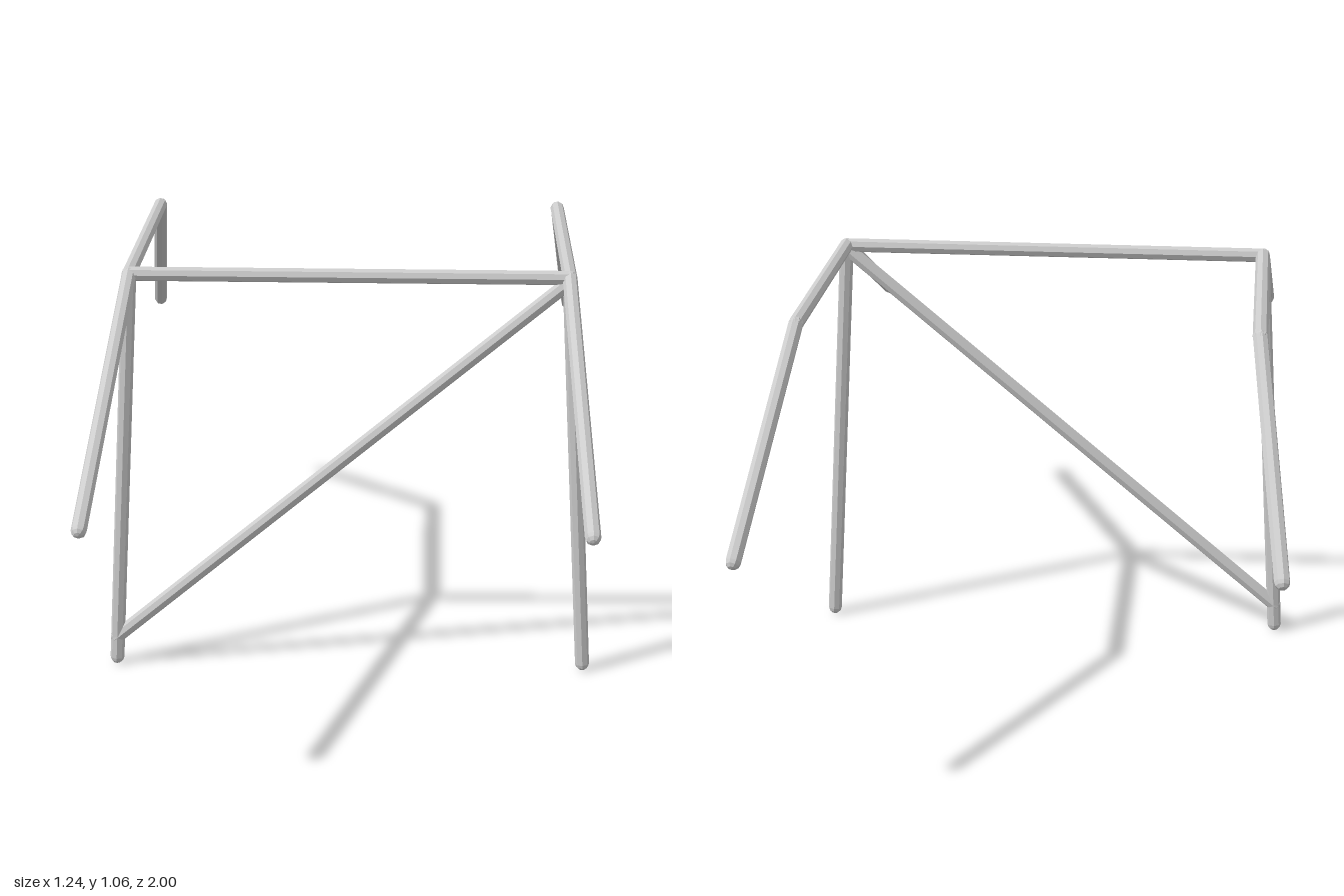
import * as THREE from 'three';

const R = 0.018;

export function createModel() {
  const model = new THREE.Group();
  model.name = 'tubeFrame';
  const steel = new THREE.MeshStandardMaterial({ color: 0xcccccc, flatShading: true });
  steel.name = 'light grey steel';

  // Round-ended faceted tube between two points
  function tube(name, a, b) {
    const from = new THREE.Vector3(...a);
    const dir = new THREE.Vector3(...b).sub(from);
    const length = dir.length();
    const mesh = new THREE.Mesh(new THREE.CapsuleGeometry(R, length, 3, 8), steel);
    mesh.name = name;
    mesh.position.copy(from).addScaledVector(dir, 0.5);
    mesh.quaternion.setFromUnitVectors(new THREE.Vector3(0, 1, 0), dir.normalize());
    model.add(mesh);
  }

  const topY = 1.045, frameZ = 0.177, topX = 0.537;

  // Mirrored sides: leg, sloping front arm, top rail and drooping rear arm
  for (const [side, s] of [['left', 1], ['right', -1]]) {
    const corner = [s * topX, topY, frameZ];
    const bend = [s * topX, topY, -0.512];
    tube(side + 'Leg', [s * 0.6, R, frameZ], corner);
    tube(side + 'FrontArm', corner, [s * 0.557, 0.694, 0.982]);
    tube(side + 'TopRail', corner, bend);
    tube(side + 'RearArm', bend, [s * 0.6, 0.642, -0.982]);
  }

  // Crossbar and diagonal brace in the plane of the legs
  tube('crossbar', [-topX, topY, frameZ], [topX, topY, frameZ]);
  tube('diagonalBrace', [-0.598, 0.075, frameZ], [topX, topY - 0.01, frameZ]);

  return model;
}
